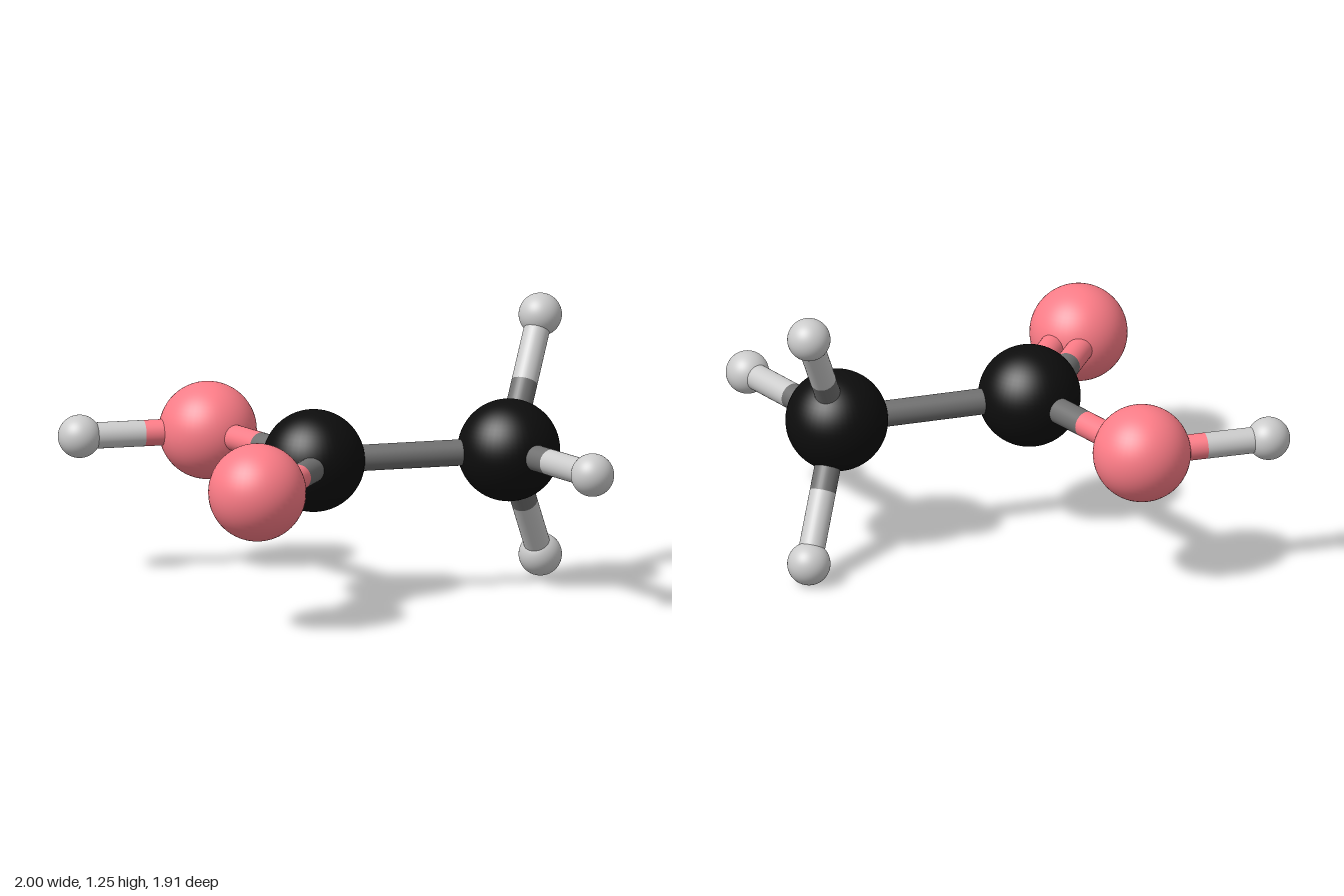
import * as THREE from 'three';

// Atom kinds: sphere radius, sphere colour and bond colour
const KINDS = {
  carbon: { radius: 0.223, color: 0x0d0d0d, bond: 0x707070 },
  oxygen: { radius: 0.213, color: 0xff7d88, bond: 0xff7d88 },
  hydrogen: { radius: 0.094, color: 0xcccccc, bond: 0xcccccc },
};
const MID = 0.626;
const BOND_RADIUS = 0.057;
const DOUBLE_OFFSET = 0.061;

const ATOMS = {
  carboxylCarbon: ['carbon', -0.227, MID, 0.045],
  methylCarbon: ['carbon', 0.63, MID, 0.222],
  doubleBondOxygen: ['oxygen', -0.746, MID, 0.537],
  hydroxylOxygen: ['oxygen', -0.35, MID, -0.735],
  hydroxylHydrogen: ['hydrogen', -0.907, MID, -0.864],
  upperHydrogen: ['hydrogen', 0.902, 1.156, -0.017],
  lowerHydrogen: ['hydrogen', 0.902, 0.095, -0.017],
  frontHydrogen: ['hydrogen', 0.717, MID, 0.86],
};

// Pairs of bonded atoms and the number of parallel rods
const BONDS = [
  ['carboxylCarbon', 'methylCarbon', 1],
  ['carboxylCarbon', 'doubleBondOxygen', 2],
  ['carboxylCarbon', 'hydroxylOxygen', 1],
  ['hydroxylOxygen', 'hydroxylHydrogen', 1],
  ['methylCarbon', 'upperHydrogen', 1],
  ['methylCarbon', 'lowerHydrogen', 1],
  ['methylCarbon', 'frontHydrogen', 1],
];

const UP = new THREE.Vector3(0, 1, 0);
const material = (color) => new THREE.MeshStandardMaterial({ color });

// Cylinder running from point a to point b
function rod(a, b, mat, name) {
  const dir = b.clone().sub(a);
  const geometry = new THREE.CylinderGeometry(BOND_RADIUS, BOND_RADIUS, dir.length(), 32);
  const mesh = new THREE.Mesh(geometry, mat);
  mesh.position.copy(a).add(b).multiplyScalar(0.5);
  mesh.quaternion.setFromUnitVectors(UP, dir.normalize());
  mesh.name = name;
  return mesh;
}

export function createModel() {
  const model = new THREE.Group();
  model.name = 'molecule';

  const atomMaterials = {};
  const bondMaterials = {};
  for (const [kind, k] of Object.entries(KINDS)) {
    atomMaterials[kind] = material(k.color);
    bondMaterials[kind] = material(k.bond);
  }

  // Atom spheres
  const centres = {};
  for (const [name, [kind, x, y, z]] of Object.entries(ATOMS)) {
    const ball = new THREE.Mesh(new THREE.SphereGeometry(KINDS[kind].radius, 48, 32), atomMaterials[kind]);
    ball.name = name;
    ball.position.set(x, y, z);
    centres[name] = ball.position;
    model.add(ball);
  }

  // Bonds: each rod changes colour halfway between its atoms
  for (const [from, to, count] of BONDS) {
    const bond = new THREE.Group();
    bond.name = `${from} to ${to} bond`;
    const side = centres[to].clone().sub(centres[from]).cross(UP).normalize();
    for (let i = 0; i < count; i++) {
      const shift = side.clone().multiplyScalar((2 * i - (count - 1)) * DOUBLE_OFFSET);
      const a = centres[from].clone().add(shift);
      const b = centres[to].clone().add(shift);
      const middle = a.clone().lerp(b, 0.5);
      bond.add(rod(a, middle, bondMaterials[ATOMS[from][0]], `${from} bond half`));
      bond.add(rod(middle, b, bondMaterials[ATOMS[to][0]], `${to} bond half`));
    }
    model.add(bond);
  }

  return model;
}
